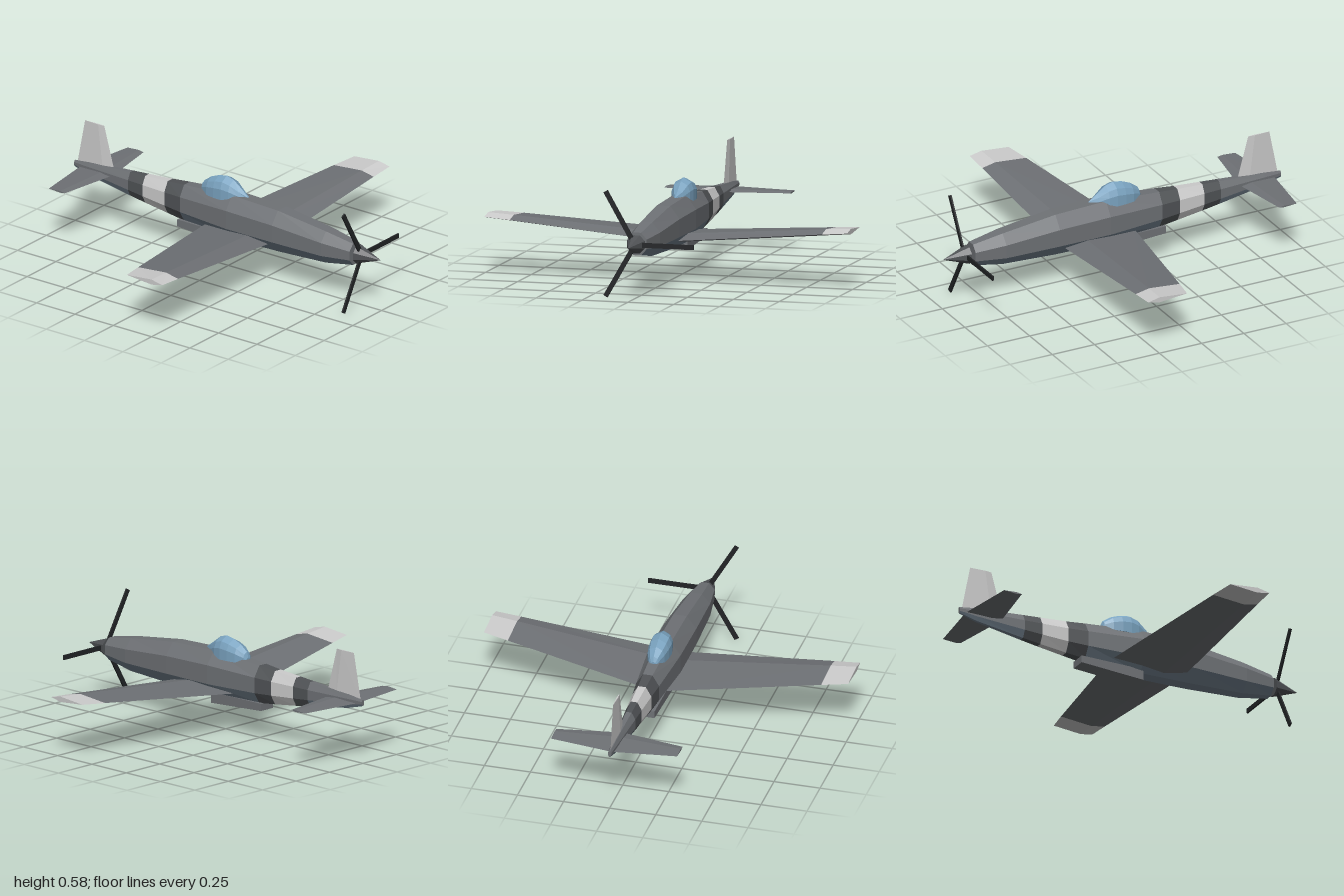
import * as THREE from 'three';

const paint = (color, side = THREE.FrontSide) => new THREE.MeshStandardMaterial({ color, flatShading: true, side });
const GREY = paint(0x6e7175, THREE.DoubleSide);
const BELLY = paint(0x73828f, THREE.DoubleSide);
const DARK = paint(0x505356);
const WHITE = paint(0xcccccc);
const BLACK = paint(0x222426);
const GLASS = paint(0x7aa3c0);

// Skins a row of cross-sections; keep picks which side panels to build
function loft(rings, caps = true, keep = () => true) {
  const n = rings[0].length, tris = [];
  for (let i = 0; i < rings.length - 1; i++) {
    for (let j = 0; j < n; j++) {
      if (!keep(j)) continue;
      const k = (j + 1) % n, a = rings[i], b = rings[i + 1];
      tris.push([a[j], b[j], a[k]], [a[k], b[j], b[k]]);
    }
  }
  if (caps) {
    const first = rings[0], last = rings[rings.length - 1];
    for (let j = 1; j < n - 1; j++) {
      tris.push([first[0], first[j], first[j + 1]], [last[0], last[j + 1], last[j]]);
    }
  }
  // Turn every face outward, judged by the sign of the enclosed volume
  const all = rings.flat();
  const mid = new THREE.Vector3();
  all.forEach(p => mid.add(p));
  mid.divideScalar(all.length);
  let volume = 0;
  for (const t of tris) {
    const [a, b, c] = t.map(p => p.clone().sub(mid));
    volume += a.dot(b.cross(c));
  }
  if (volume < 0) tris.forEach(t => t.reverse());
  const g = new THREE.BufferGeometry().setFromPoints(tris.flat());
  g.computeVertexNormals();
  return g;
}

const V = (x, y, z) => new THREE.Vector3(x, y, z);

// Eight-sided body section with flat top and bottom
function octagon([z, bottom, top, halfWidth]) {
  const c = Math.cos(Math.PI / 8);
  return Array.from({ length: 8 }, (_, j) => {
    const a = Math.PI / 8 + j * Math.PI / 4;
    return V(halfWidth * Math.cos(a) / c, (bottom + top) / 2 + (top - bottom) / 2 * Math.sin(a) / c, z);
  });
}

// Thin diamond aerofoil: leading edge, upper ridge, trailing edge, lower ridge
function aerofoil(x, y, zLead, zTrail, thick, ridge = 0.3) {
  const zr = zLead + (zTrail - zLead) * ridge;
  return [V(x, y, zLead), V(x, y + thick / 2, zr), V(x, y, zTrail), V(x, y - thick / 2, zr)];
}

export function createModel() {
  const model = new THREE.Group();
  model.name = 'propellerPlane';
  const add = (name, geometry, material, parent = model) => {
    const m = new THREE.Mesh(geometry, material);
    m.name = name;
    parent.add(m);
    return m;
  };

  // Fuselage stations: z, bottom, top, half width
  const nose = [
    [0.83, 0.23, 0.35, 0.052], [0.66, 0.203, 0.38, 0.075], [0.35, 0.19, 0.42, 0.088],
    [0.05, 0.185, 0.43, 0.088], [-0.27, 0.203, 0.405, 0.062]];
  const bandFront = [-0.38, 0.215, 0.395, 0.051];
  const bandBack = [-0.53, 0.234, 0.386, 0.041];
  const tail = [[-0.63, 0.248, 0.38, 0.035], [-0.9, 0.29, 0.363, 0.018], [-1, 0.317, 0.35, 0.009]];
  const isBelly = j => j >= 4 && j <= 6;
  for (const [name, stations] of [['frontFuselage', nose], ['rearFuselage', tail]]) {
    const rings = stations.map(octagon);
    add(name, loft(rings, true, j => !isBelly(j)), GREY);
    add(name + 'Belly', loft(rings, false, isBelly), BELLY);
  }
  add('darkBandFront', loft([nose[4], bandFront].map(octagon), false), DARK);
  add('whiteBand', loft([bandFront, bandBack].map(octagon), false), WHITE);
  add('darkBandRear', loft([bandBack, tail[0]].map(octagon), false), DARK);

  // Wings with light tips, and tailplane
  for (const [side, s] of [['left', 1], ['right', -1]]) {
    const root = aerofoil(0, 0.225, 0.31, -0.125, 0.045);
    const joint = aerofoil(s * 0.85, 0.3, 0.31, 0.05, 0.032);
    const tip = aerofoil(s * 0.988, 0.311, 0.31, 0.08, 0.029);
    add(side + 'Wing', loft([root, joint]), GREY);
    add(side + 'WingTip', loft([joint, tip]), WHITE);
    add(side + 'Tailplane', loft([
      aerofoil(0, 0.326, -0.752, -0.962, 0.016), aerofoil(s * 0.342, 0.326, -0.81, -0.915, 0.01)]), GREY);
  }

  // Upright tail fin
  const finSection = (y, zLead, zTrail, t) =>
    aerofoil(0, 0, zLead, zTrail, t).map(p => V(p.y, y, p.z));
  add('tailFin', loft([finSection(0.34, -0.74, -0.985, 0.014), finSection(0.592, -0.81, -0.935, 0.009)]), WHITE);

  // Faceted canopy: z, height of crown, half width
  const canopy = [
    [0.135, 0.43, 0.003], [0.085, 0.465, 0.03], [0.035, 0.502, 0.05], [-0.01, 0.515, 0.057],
    [-0.06, 0.505, 0.055], [-0.11, 0.485, 0.046], [-0.155, 0.452, 0.027], [-0.165, 0.425, 0.015]];
  add('canopy', loft(canopy.map(([z, top, w]) => {
    const base = 0.395;
    return [[1, 0], [1, 0.5], [0.75, 0.8], [0, 1], [-0.75, 0.8], [-1, 0.5], [-1, 0]]
      .map(([u, v]) => V(u * w, base + v * (top - base), z));
  })), GLASS);

  // Belly air scoop
  const scoopSection = (z, bottom, top) =>
    [V(0.045, bottom, z), V(0.045, top, z), V(-0.045, top, z), V(-0.045, bottom, z)];
  add('bellyScoop', loft([scoopSection(0.065, 0.145, 0.205), scoopSection(-0.3, 0.168, 0.207)]), GREY);

  // Spinner and three-bladed propeller
  const propeller = new THREE.Group();
  propeller.name = 'propeller';
  propeller.position.set(0, 0.291, 0.87);
  model.add(propeller);
  const cone = new THREE.ConeGeometry(0.052, 0.145, 8).rotateX(Math.PI / 2).rotateZ(Math.PI / 8);
  add('spinner', cone, DARK, propeller).position.z = 0.0525;
  for (let i = 0; i < 3; i++) {
    const blade = new THREE.BoxGeometry(0.32, 0.025, 0.009).translate(0.16, 0, 0);
    add('blade', blade, BLACK, propeller).rotation.z = i * Math.PI * 2 / 3;
  }
  return model;
}
